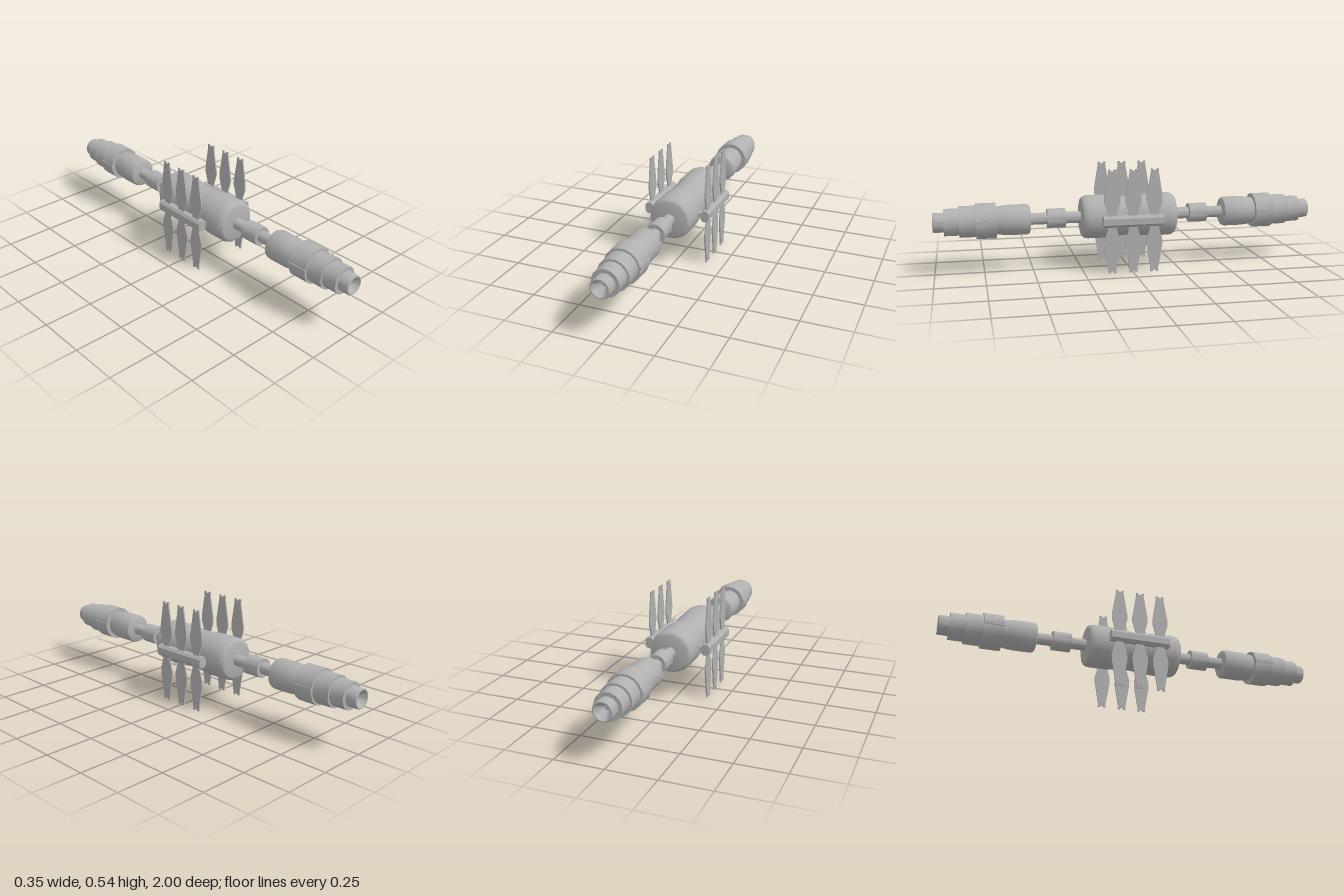
import * as THREE from 'three';
import { toCreasedNormals } from 'three/addons/utils/BufferGeometryUtils.js';

const AXIS_Y = 0.27;

export function createModel() {
  const model = new THREE.Group();
  model.name = 'station';
  const grey = new THREE.MeshStandardMaterial({ color: 0xb0b0b0 });
  grey.name = 'hull grey';

  const add = (parent, name, geometry) => {
    const mesh = new THREE.Mesh(geometry, grey);
    mesh.name = name;
    parent.add(mesh);
    return mesh;
  };

  // Turned part along z from [radius, z] pairs
  const turned = (points, sides = 16) => {
    const g = new THREE.LatheGeometry(points.map(([r, z]) => new THREE.Vector2(r, z)), sides, Math.PI / sides);
    g.rotateX(Math.PI / 2);
    return toCreasedNormals(g, 0.6);
  };
  const drum = (r, z0, z1) => turned([[0, z0], [r, z0], [r, z1], [0, z1]]);

  const core = new THREE.Group();
  core.name = 'core';
  core.position.y = AXIS_Y;
  model.add(core);

  // Main body with rounded ends and a shallow waist
  const half = [[0, 0.25], [0.088, 0.25], [0.1, 0.246], [0.109, 0.235], [0.113, 0.215], [0.113, 0.12], [0.107, 0.06]];
  const profile = [...half.map(([r, z]) => [r, -z]), [0.102, 0], ...half.slice().reverse()];
  add(core, 'mainBody', turned(profile));

  // Identical arm at each end
  for (const [side, turn] of [['front', 0], ['back', Math.PI]]) {
    const arm = new THREE.Group();
    arm.name = side + 'Arm';
    arm.rotation.y = turn;
    core.add(arm);

    add(arm, 'connectingRod', drum(0.03, 0.24, 0.52));
    add(arm, 'rodCollar', drum(0.05, 0.33, 0.425));
    add(arm, 'armModule', turned([
      [0, 0.512], [0.066, 0.512], [0.074, 0.517], [0.078, 0.53],
      [0.078, 0.62], [0.074, 0.66], [0.069, 0.69], [0, 0.69]]));
    add(arm, 'wideRing', drum(0.091, 0.685, 0.785));
    add(arm, 'middleRing', drum(0.08, 0.78, 0.87));
    add(arm, 'narrowRing', drum(0.069, 0.865, 0.945));

    // Nozzle with a funnel-shaped recess
    add(arm, 'nozzle', turned([
      [0, 0.94], [0.05, 0.94], [0.05, 0.995], [0.047, 1],
      [0.042, 1], [0.036, 0.985], [0.0125, 0.95], [0, 0.95]]));

    // Bars along the flanks of the wide ring
    for (const s of [-1, 1]) {
      const bar = add(arm, 'ringBar', new THREE.BoxGeometry(0.012, 0.016, 0.102));
      bar.position.set(s * 0.088, 0.008, 0.735);
    }
  }

  // Blade outline from the rail up to its notched tip, as [half width, height]
  const blade = new THREE.Shape();
  const edge = [[0.02, 0], [0.022, 0.035], [0.041, 0.1], [0.041, 0.125], [0.02, 0.25], [0.021, 0.266], [0.009, 0.266], [0.007, 0.257]];
  const outline = [...edge, ...edge.slice().reverse().map(([x, y]) => [-x, y])];
  blade.setFromPoints(outline.map(([x, y]) => new THREE.Vector2(x, y)));
  const bladeGeometry = new THREE.ExtrudeGeometry(blade, { depth: 0.007, bevelEnabled: false });
  bladeGeometry.translate(0, 0, -0.0035);
  bladeGeometry.rotateY(Math.PI / 2);

  // Chamfered rail section
  const rail = new THREE.Shape([
    [0.011, -0.029], [0.022, -0.016], [0.022, 0.016], [0.011, 0.029],
    [-0.011, 0.029], [-0.022, 0.016], [-0.022, -0.016], [-0.011, -0.029],
  ].map(([x, y]) => new THREE.Vector2(x, y)));
  const railGeometry = new THREE.ExtrudeGeometry(rail, { depth: 0.312, bevelEnabled: false });
  railGeometry.translate(0, 0, -0.156);

  // Blade arrays on both sides
  for (const s of [-1, 1]) {
    const array = new THREE.Group();
    array.name = s > 0 ? 'leftPanelArray' : 'rightPanelArray';
    array.position.x = s * 0.153;
    core.add(array);
    add(array, 'rail', railGeometry);
    for (const z of [-0.115, 0.115]) {
      const strut = add(array, 'strut', new THREE.BoxGeometry(0.06, 0.013, 0.045));
      strut.position.set(-s * 0.045, 0, z);
    }
    for (const z of [-0.11, 0, 0.11]) {
      add(array, 'upperBlade', bladeGeometry).position.z = z;
      const lower = add(array, 'lowerBlade', bladeGeometry);
      lower.position.z = z;
      lower.rotation.x = Math.PI;
      lower.scale.y = 0.27 / 0.266;
    }
  }
  return model;
}
